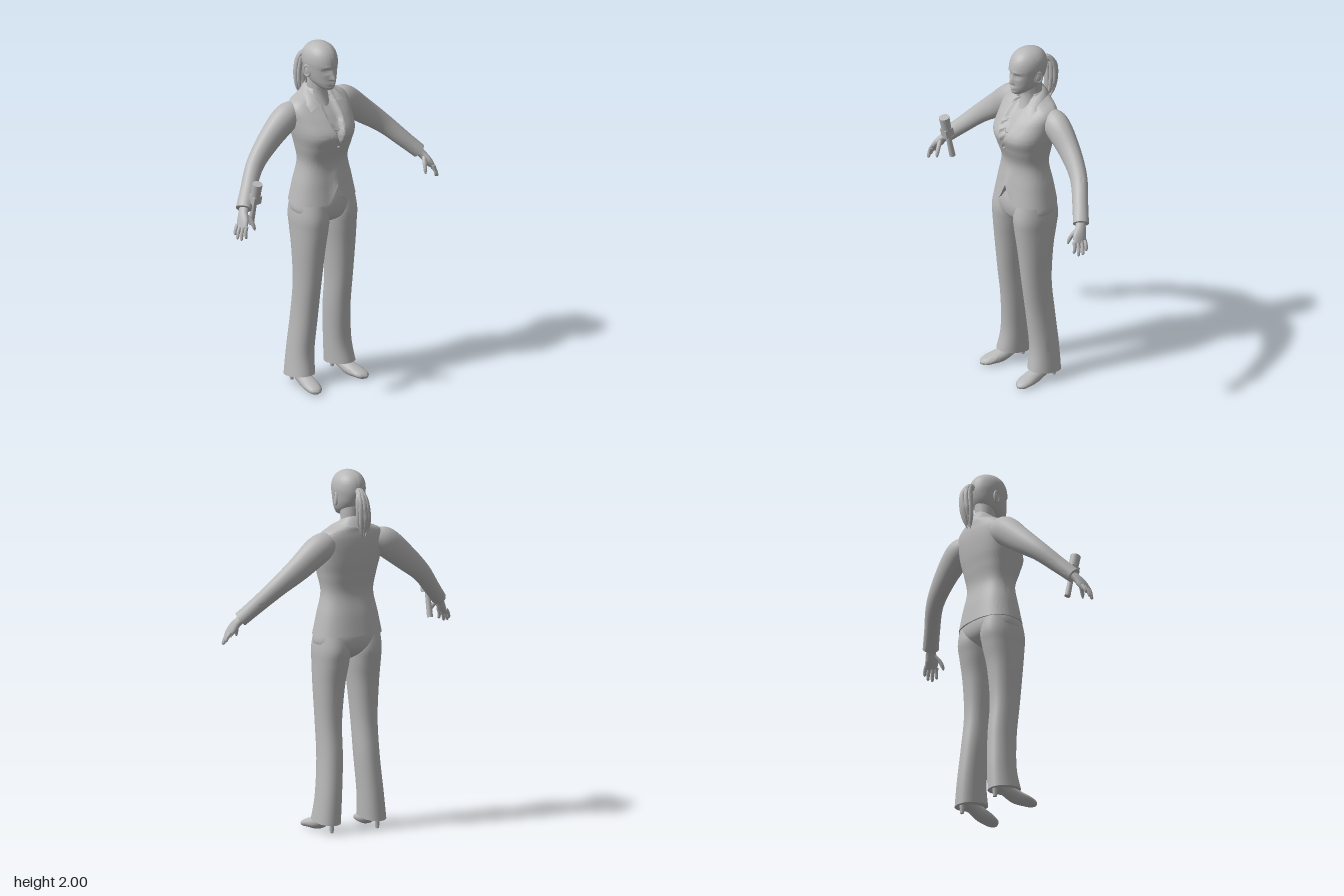
import * as THREE from 'three';
import { toCreasedNormals } from 'three/addons/utils/BufferGeometryUtils.js';

const grey = new THREE.MeshStandardMaterial({ color: 0xb8b8b8, side: THREE.DoubleSide });
grey.name = 'plain grey';

const mesh = (name, geo) => { const m = new THREE.Mesh(geo, grey); m.name = name; return m; };
const bell = (d, w) => Math.exp(-(d * d) / (w * w));

// Smooth interpolation through rows of numbers, s from 0 to 1
function sample(rows, s) {
  const n = rows.length - 1, f = Math.min(Math.max(s, 0), 1) * n;
  const i = Math.min(Math.floor(f), n - 1), t = f - i;
  const [a, b, c, d] = [rows[Math.max(i - 1, 0)], rows[i], rows[i + 1], rows[Math.min(i + 2, n)]];
  return b.map((p, k) => p + 0.5 * t * (c[k] - a[k] + t * (2 * a[k] - 5 * p + 4 * c[k] - d[k]
    + t * (3 * (p - c[k]) + d[k] - a[k]))));
}

// Grid surface from f(u, v); closed wraps u and caps both ends
function surface(nu, nv, f, closed = true) {
  const pos = [], idx = [], w = closed ? nu : nu + 1;
  for (let j = 0; j <= nv; j++) for (let i = 0; i < w; i++) pos.push(...f(i / nu, j / nv));
  for (let j = 0; j < nv; j++) for (let i = 0; i < nu; i++) {
    const k = (i + 1) % w, a = j * w + i, b = j * w + k;
    idx.push(a, b, b + w, a, b + w, a + w);
  }
  if (closed) for (const j of [0, nv]) {
    const mid = [0, 0, 0], c = pos.length / 3;
    for (let i = 0; i < w; i++) for (let k = 0; k < 3; k++) mid[k] += pos[(j * w + i) * 3 + k] / w;
    pos.push(...mid);
    for (let i = 0; i < w; i++) {
      const a = j * w + i, b = j * w + (i + 1) % w;
      idx.push(c, ...(j ? [a, b] : [b, a]));
    }
  }
  const g = new THREE.BufferGeometry();
  g.setAttribute('position', new THREE.Float32BufferAttribute(pos, 3));
  g.setIndex(idx);
  return toCreasedNormals(g, 0.9);
}

// Upright loft: rows are [y, centre x, half width, widest z, front z, back z]
function loft(rows, nu, nv, power, rule = p => p) {
  const round = c => Math.sign(c) * Math.abs(c) ** (2 / power);
  return surface(nu, nv, (u, v) => {
    const [y, cx, rx, zc, zf, zb] = sample(rows, v);
    const s = round(Math.sin(u * 2 * Math.PI)), c = round(Math.cos(u * 2 * Math.PI));
    return rule([cx + rx * s, y, zc + c * (c > 0 ? zf - zc : zc - zb)]);
  });
}

// Tapered limb along a path: points are [x, y, z, radius a, radius b]
function limb(pts, nu, nv, ref = new THREE.Vector3(0, 0, 1)) {
  const at = v => new THREE.Vector3(...sample(pts, v).slice(0, 3));
  return surface(nu, nv, (u, v) => {
    const T = at(Math.min(v + 0.01, 1)).sub(at(Math.max(v - 0.01, 0))).normalize();
    const N = T.clone().cross(ref).normalize(), B = N.clone().cross(T);
    const r = sample(pts, v), a = u * 2 * Math.PI;
    return at(v).addScaledVector(N, r[3] * Math.sin(a)).addScaledVector(B, r[4] * Math.cos(a)).toArray();
  });
}

const JACKET = [
  [1.09, 0, .195, .01, .155, -.125], [1.2, 0, .173, .01, .137, -.108], [1.32, 0, .148, .01, .125, -.086],
  [1.42, 0, .163, .01, .157, -.1], [1.5, 0, .18, 0, .178, -.114], [1.58, 0, .188, -.02, .13, -.121],
  [1.635, 0, .19, -.03, .083, -.12], [1.672, 0, .165, -.035, .05, -.115], [1.698, 0, .11, -.04, .033, -.112],
  [1.718, 0, .07, -.04, .022, -.105], [1.73, 0, .058, -.04, .015, -.095]];

// Front surface of the jacket at x, y
function frontZ(x, y) {
  let lo = 0, hi = 1;
  for (let i = 0; i < 30; i++) {
    const m = (lo + hi) / 2;
    if (sample(JACKET, m)[0] < y) lo = m; else hi = m;
  }
  const [, , rx, zc, zf] = sample(JACKET, lo);
  return zc + (zf - zc) * Math.max(0, 1 - (Math.abs(x) / rx) ** 2.4) ** (1 / 2.4);
}

// Jacket rule: sunken neckline and a notch in the front hem
function shapeJacket([x, y, z]) {
  if (z > 0) {
    const open = Math.min(.054, (y - 1.44) * .38);
    if (y > 1.44 && Math.abs(x) < open) z -= .028 * Math.min(1, (open - Math.abs(x)) / .012);
    if (y < 1.3) y += .1 * Math.max(0, 1 - Math.abs(x) / .055) * (1.3 - y) / .21;
  }
  return [x, y, z];
}

// Face rule: nose, eye sockets, brows, lips and chin
function shapeFace([x, y, z]) {
  if (z > .03) {
    const ax = Math.abs(x);
    const nose = y > 1.815 ? Math.max(0, 1 - (y - 1.815) / .06) : Math.max(0, 1 - (1.815 - y) / .012);
    z += .02 * nose * bell(x, .013) - .012 * bell(ax - .033, .018) * bell(y - 1.862, .013);
    z += .005 * bell(ax - .033, .01) * bell(y - 1.861, .006) + .004 * bell(ax - .03, .025) * bell(y - 1.885, .008);
    z += .007 * bell(x, .022) * (bell(y - 1.79, .005) + bell(y - 1.779, .005)) + .004 * bell(x, .02) * bell(y - 1.758, .01);
  }
  return [x, y, z];
}

// Arm, hand, leg, shoe, ear and lapel of the +x side
function buildSide(name) {
  const g = new THREE.Group();
  g.name = name;
  g.add(mesh('sleeve', limb([[.12, 1.61, -.045, .05, .05], [.2, 1.587, -.048, .08, .07], [.33, 1.485, -.042, .07, .056],
    [.45, 1.385, -.012, .054, .046], [.55, 1.28, .05, .045, .043], [.618, 1.208, .096, .041, .045]], 24, 36)));
  g.add(mesh('palm', limb([[.6, 1.225, .085, .024, .028], [.63, 1.19, .107, .022, .03], [.65, 1.155, .128, .02, .04],
    [.668, 1.122, .142, .013, .038]], 16, 12)));
  const tips = [[.668, 1.072, .179], [.689, 1.062, .165], [.698, 1.066, .142], [.696, 1.082, .118]];
  tips.forEach(([x, y, z], i) => {
    const bz = .17 - i * .02, bx = .658 + i * .005;
    g.add(mesh('finger', limb([[bx, 1.135, bz, .011, .011], [(bx + x) / 2 + .005, (1.135 + y) / 2, (bz + z) / 2, .01, .01],
      [x, y + .006, z, .008, .008], [x, y, z, .003, .003]], 10, 9)));
  });
  g.add(mesh('thumb', limb([[.634, 1.19, .12, .014, .014], [.613, 1.155, .152, .012, .012], [.604, 1.12, .168, .01, .01],
    [.602, 1.1, .172, .004, .004]], 10, 10)));
  // Trouser leg with a hem that rises toward the front
  g.add(mesh('trouserLeg', loft([[.06, .142, .073, -.005, .092, -.105], [.2, .13, .068, -.01, .071, -.1],
    [.4, .115, .066, 0, .085, -.084], [.6, .111, .068, .02, .11, -.064], [.8, .106, .081, .025, .131, -.075],
    [.93, .099, .092, .02, .146, -.1], [1.02, .096, .096, .02, .15, -.114], [1.15, .09, .085, .01, .125, -.09]],
  32, 42, 2.2, ([x, y, z]) => [x, y + Math.max(0, .2 - y) * z * 1.1, z])));
  g.add(mesh('shoe', limb([[.142, .082, -.097, .015, .01], [.142, .077, -.07, .034, .028], [.145, .06, 0, .037, .035],
    [.15, .037, .07, .044, .037], [.16, .027, .13, .046, .027], [.168, .018, .175, .034, .018],
    [.17, .014, .195, .006, .006]], 20, 30, new THREE.Vector3(0, 1, 0))));
  const heel = mesh('shoeHeel', new THREE.CylinderGeometry(.016, .01, .065, 12));
  heel.position.set(.142, .0325, -.072);
  g.add(heel);
  // Ear
  const ear = new THREE.Group();
  ear.name = 'ear';
  const rim = mesh('earRim', new THREE.TorusGeometry(.02, .006, 8, 20));
  rim.scale.y = 1.5;
  const bowl = mesh('earBowl', new THREE.SphereGeometry(.02, 14, 10));
  bowl.scale.set(.9, 1.4, .3);
  ear.add(rim, bowl);
  ear.position.set(.083, 1.845, -.012);
  ear.rotation.set(0, Math.PI / 2 - .3, 0);
  g.add(ear);
  // Lapel lying on the jacket front
  const inner = [[.054, 1.662], [.053, 1.58], [.034, 1.515], [.0, 1.44]];
  const outer = [[.122, 1.618], [.102, 1.555], [.066, 1.5], [.004, 1.435]];
  g.add(mesh('lapel', surface(8, 24, (u, v) => {
    const a = sample(inner, v), b = sample(outer, v);
    const x = a[0] + (b[0] - a[0]) * u, y = a[1] + (b[1] - a[1]) * u;
    return [x, y, frontZ(x, y) + .01 - .004 * u];
  }, false)));
  return g;
}

export function createModel() {
  const model = new THREE.Group();
  model.name = 'womanInSuit';
  const left = buildSide('leftSide'), right = buildSide('rightSide');
  right.scale.x = -1;
  model.add(left, right);

  model.add(mesh('jacket', loft(JACKET, 96, 90, 2.4, shapeJacket)));
  model.add(mesh('trouserSeat', loft([[.955, 0, .02, .02, .06, -.03], [.985, 0, .1, .02, .125, -.08],
    [1.03, 0, .185, .02, .146, -.112], [1.1, 0, .186, .01, .147, -.116], [1.2, 0, .15, .01, .12, -.09]], 40, 16, 2.3)));

  // Collar strip around the neck, mirrored at the back
  const half = rows => [...rows.slice(1).reverse().map(([x, y, z]) => [-x, y, z]), ...rows];
  const fold = half([[0, 1.755, -.09], [.048, 1.748, -.07], [.066, 1.72, -.01], [.063, 1.69, .04], [.054, 1.66, .075]]);
  const edge = half([[0, 1.695, -.124], [.065, 1.7, -.1], [.108, 1.692, -.03], [.125, 1.668, .035], [.126, 1.637, .077]]);
  model.add(mesh('collar', surface(40, 4, (u, v) => {
    const a = sample(fold, u), b = sample(edge, u);
    return a.map((p, k) => p + (b[k] - p) * v + (k === 1 ? .008 * Math.sin(v * Math.PI) : 0));
  }, false)));
  const button = mesh('button', new THREE.SphereGeometry(.008, 10, 8));
  button.position.set(0, 1.425, frontZ(0, 1.425));
  model.add(button);

  // Undershirt neckline
  const neckline = [-.03, -.018, 0, .018, .03].map(x => {
    const y = 1.52 + 16 * x * x;
    return new THREE.Vector3(x, y, frontZ(x, y) - .026);
  });
  model.add(mesh('shirtNeckline', new THREE.TubeGeometry(new THREE.CatmullRomCurve3(neckline), 16, .004, 6)));

  model.add(mesh('neck', loft([[1.6, 0, .075, -.03, .07, -.09], [1.67, 0, .06, -.03, .042, -.09],
    [1.72, 0, .054, -.03, .034, -.085], [1.76, 0, .054, -.03, .04, -.085], [1.81, 0, .055, -.02, .04, -.085]], 32, 16, 2)));
  model.add(mesh('head', loft([[1.742, 0, .012, .07, .08, .06], [1.75, 0, .034, .055, .1, .01],
    [1.78, 0, .06, .02, .106, -.055], [1.82, 0, .075, 0, .107, -.092], [1.865, 0, .083, -.005, .109, -.11],
    [1.905, 0, .087, -.008, .109, -.113], [1.945, 0, .08, -.008, .096, -.104], [1.975, 0, .061, -.006, .071, -.081],
    [1.993, 0, .034, -.004, .038, -.045], [2, 0, .006, -.003, .006, -.01]], 80, 72, 2.1, shapeFace)));

  // Ponytail: a bundle of overlapping locks
  const tail = new THREE.Group();
  tail.name = 'ponytail';
  const sideways = new THREE.Vector3(1, 0, 0);
  for (let i = 0; i < 9; i++) {
    const a = i * Math.PI / 4, r = i < 8 ? 1 : 0;
    const dx = .026 * r * Math.sin(a), dz = .02 * r * Math.cos(a), drop = .012 * (i % 3);
    tail.add(mesh('lock', limb([[dx * .3, 1.893 - dz * .3, -.1, .008, .008], [dx * .5, 1.893 - dz * .5, -.135, .012, .01],
      [dx, 1.85, -.158 + dz, .013, .013], [dx * 1.15 - .006, 1.77, -.163 + dz, .014, .015],
      [dx - .01, 1.7 + drop, -.157 + dz * .8, .011, .012], [dx * .5 - .012, 1.642 + drop, -.147 + dz * .5, .002, .002]],
    10, 24, sideways)));
  }
  const tie = mesh('hairTie', new THREE.TorusGeometry(.014, .007, 8, 16));
  tie.position.set(0, 1.893, -.12);
  tail.add(tie);
  model.add(tail);

  // Handheld microphone by the right hand
  const mic = new THREE.Group();
  mic.name = 'microphone';
  const top = mesh('microphoneHead', new THREE.CylinderGeometry(.029, .027, .085, 20));
  top.position.y = .09;
  const block = mesh('microphoneBlock', new THREE.BoxGeometry(.052, .048, .052));
  block.position.y = .035;
  const grip = mesh('microphoneGrip', new THREE.CylinderGeometry(.014, .017, .15, 16));
  grip.position.y = -.055;
  mic.add(top, block, grip);
  mic.position.set(-.565, 1.23, .122);
  mic.rotation.x = .22;
  model.add(mic);
  return model;
}
